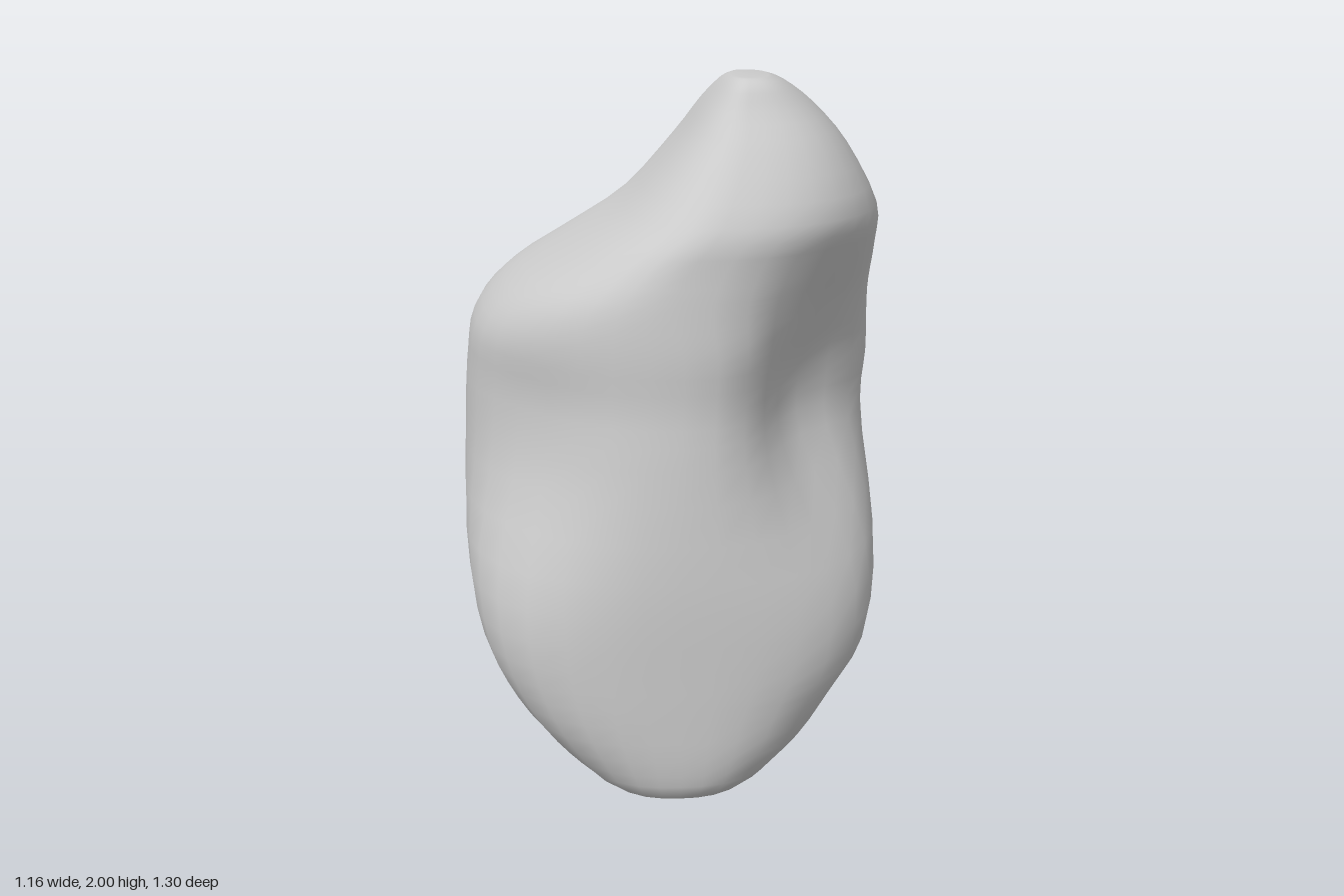
import * as THREE from 'three';

const { lerp, smoothstep } = THREE.MathUtils;

// Horizontal sections: [y, xMin, xMax, zMin, zMax]
const SECTIONS = [
  [0, -0.05, 0.04, 0.13, 0.21],
  [0.03, -0.12, 0.11, -0.04, 0.32],
  [0.06, -0.18, 0.18, -0.2, 0.45],
  [0.115, -0.26, 0.26, -0.33, 0.61],
  [0.2, -0.35, 0.35, -0.45, 0.645],
  [0.35, -0.46, 0.45, -0.585, 0.65],
  [0.5, -0.535, 0.54, -0.615, 0.65],
  [0.75, -0.585, 0.585, -0.645, 0.65],
  [1.05, -0.585, 0.57, -0.61, 0.635],
  [1.2, -0.575, 0.58, -0.56, 0.62],
  [1.33, -0.55, 0.575, -0.51, 0.615],
  [1.44, -0.46, 0.57, -0.46, 0.6],
  [1.55, -0.29, 0.57, -0.39, 0.58],
  [1.66, -0.13, 0.56, -0.32, 0.555],
  [1.82, 0.01, 0.47, -0.2, 0.45],
  [1.92, 0.08, 0.38, -0.08, 0.37],
  [1.98, 0.13, 0.3, 0.02, 0.33],
  [2, 0.16, 0.25, 0.1, 0.29],
];

// Hollows pressed into the side: centre, inward direction, depth and spread
const HOLLOWS = [
  { at: [0.42, 1.18, 0.42], dir: [-0.71, 0, -0.71], depth: 0.2, across: 0.18, tall: 0.24 },
  { at: [-0.42, 1.12, 0.45], dir: [0.71, 0, -0.71], depth: 0.09, across: 0.22, tall: 0.24 },
];

const SIDES = 36;
const STEPS = 3;

function pressHollows(p) {
  const base = p.clone();
  for (const h of HOLLOWS) {
    const dir = new THREE.Vector3(...h.dir);
    const d = base.clone().sub(new THREE.Vector3(...h.at));
    const across = d.x * dir.z - d.z * dir.x;
    const fade = Math.exp(-0.5 * ((across / h.across) ** 2 + (d.y / h.tall) ** 2));
    const near = 1 - smoothstep(d.dot(dir), 0.15, 0.45);
    p.addScaledVector(dir, h.depth * fade * near);
  }
  return p;
}

// Smooth section at a fractional row number
function sectionAt(row) {
  const last = SECTIONS.length - 1;
  const i = Math.min(Math.floor(row), last - 1);
  const t = row - i;
  return SECTIONS[i].map((b, c) => {
    const a = SECTIONS[Math.max(i - 1, 0)][c];
    const e = SECTIONS[i + 1][c];
    const f = SECTIONS[Math.min(i + 2, last)][c];
    return b + 0.5 * t * (e - a + t * (2 * a - 5 * b + 4 * e - f + t * (3 * (b - e) + f - a)));
  });
}

// Point on a section; widest towards the front low down and fuller on the right near the top
function sectionPoint([y, x0, x1, z0, z1], angle) {
  const c = Math.cos(angle);
  const s = Math.sin(angle);
  const low = smoothstep(y, 0.08, 0.35) * (1 - smoothstep(y, 0.5, 1));
  const high = smoothstep(y, 1.3, 1.6);
  const power = s > 0 ? lerp(2.5, 3.1, low) : lerp(2.35, 2.75, smoothstep(y, 0.6, 1.15));
  const r = (Math.abs(c) ** power + Math.abs(s) ** power) ** (-1 / power);
  const midX = (x0 + x1) / 2 - high * 0.15 * (x1 - x0);
  const midZ = (z0 + z1) / 2 + low * 0.14 * (z1 - z0);
  return new THREE.Vector3(
    midX + r * c * (c > 0 ? x1 - midX : midX - x0),
    y,
    midZ + r * s * (s > 0 ? z1 - midZ : midZ - z0),
  );
}

function stoneGeometry() {
  const rows = (SECTIONS.length - 1) * STEPS;
  const positions = [];
  const index = [];
  for (let i = 0; i <= rows; i++) {
    const section = sectionAt(i / STEPS);
    for (let j = 0; j < SIDES; j++) {
      const p = sectionPoint(section, (j / SIDES) * Math.PI * 2);
      positions.push(...pressHollows(p).toArray());
    }
  }
  for (let i = 0; i < rows; i++) {
    for (let j = 0; j < SIDES; j++) {
      const a = i * SIDES + j;
      const b = i * SIDES + ((j + 1) % SIDES);
      index.push(a, a + SIDES, b, b, a + SIDES, b + SIDES);
    }
  }

  // Close the bottom and the top
  const top = rows * SIDES;
  const pole = positions.length / 3;
  for (const [y, x0, x1, z0, z1] of [SECTIONS[0], SECTIONS[SECTIONS.length - 1]]) {
    positions.push((x0 + x1) / 2, y, (z0 + z1) / 2);
  }
  for (let j = 0; j < SIDES; j++) {
    const n = (j + 1) % SIDES;
    index.push(pole, j, n, pole + 1, top + n, top + j);
  }

  const geometry = new THREE.BufferGeometry();
  geometry.setAttribute('position', new THREE.Float32BufferAttribute(positions, 3));
  geometry.setIndex(index);
  geometry.computeVertexNormals();
  return geometry;
}

export function createModel() {
  const group = new THREE.Group();
  group.name = 'rock';
  const stone = new THREE.Mesh(stoneGeometry(), new THREE.MeshStandardMaterial({ color: 0xcccccc }));
  stone.name = 'stone';
  group.add(stone);
  return group;
}
